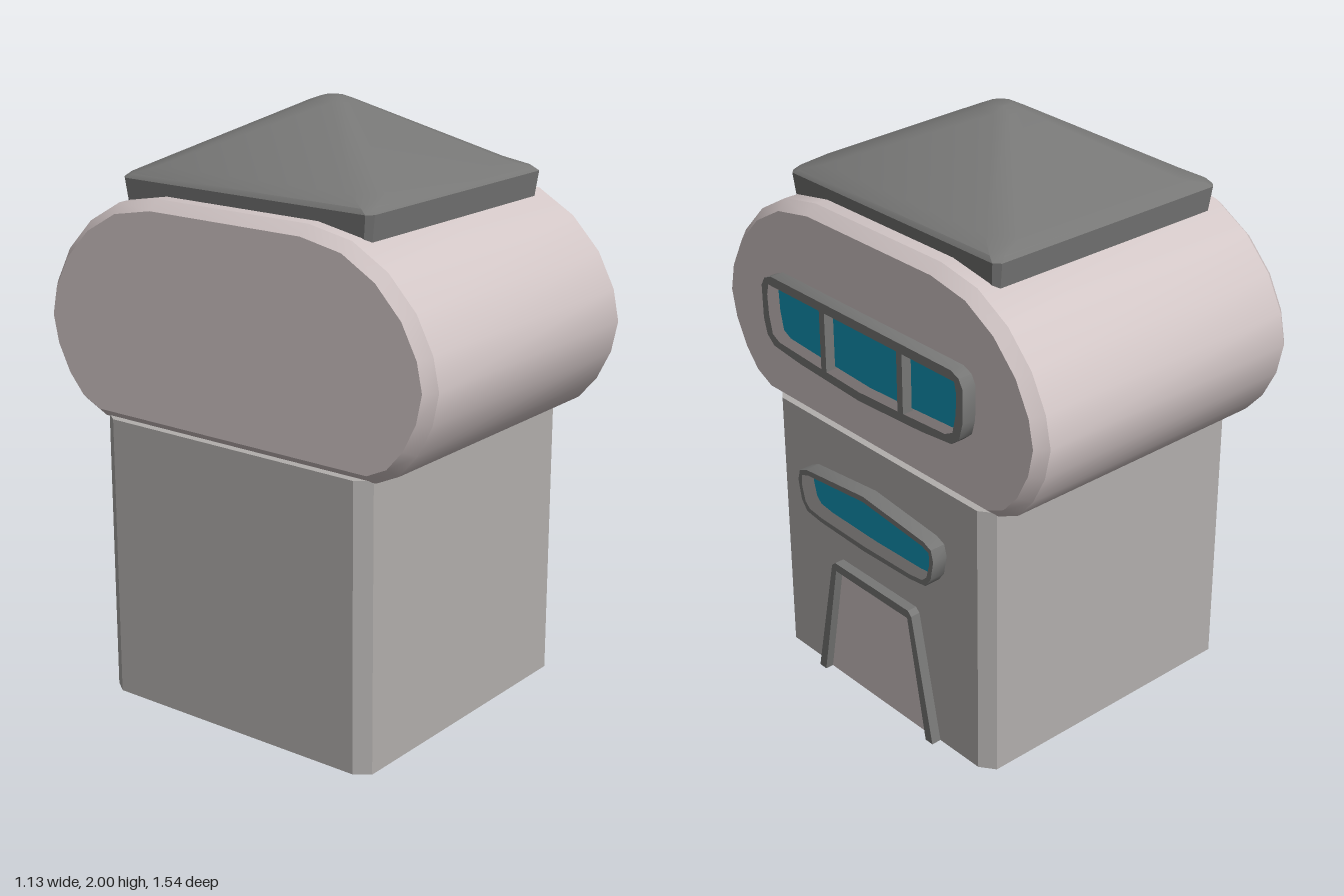
import * as THREE from 'three';
import { toCreasedNormals } from 'three/addons/utils/BufferGeometryUtils.js';

const mat = (name, color) => {
  const m = new THREE.MeshStandardMaterial({ color });
  m.name = name;
  return m;
};

// Full closed outline from one half, listed top to bottom as [z, y]
const mirrored = (half) => {
  const other = half.filter(([z]) => z > 0).reverse().map(([z, y]) => [-z, y]);
  return [...half, ...other].map(([z, y]) => new THREE.Vector2(z, y));
};

// Extrude a z/y outline along x between two positions
function slab(outline, x0, x1, hole, bevel = 0) {
  const shape = new THREE.Shape(outline);
  if (hole) shape.holes.push(new THREE.Path(hole));
  const geo = new THREE.ExtrudeGeometry(shape, {
    depth: x1 - x0 - 2 * bevel, bevelEnabled: bevel > 0, bevelSegments: 1,
    bevelThickness: bevel, bevelSize: bevel * 0.85, bevelOffset: -bevel * 0.85,
  });
  geo.rotateY(Math.PI / 2);
  geo.translate(x0 + bevel, 0, 0);
  return toCreasedNormals(geo, 0.6);
}

// Rectangle with cut corners, counter-clockwise
const cutRect = (hx, hz, cx, cz) => [
  [hx, -hz + cz], [hx, hz - cz], [hx - cx, hz], [-hx + cx, hz],
  [-hx, hz - cz], [-hx, -hz + cz], [-hx + cx, -hz], [hx - cx, -hz],
];

// Roof skin lofted through cut-corner rings, closed at both ends
function roofGeometry() {
  const rings = [
    [1.66, 0.455, 0.482, 0.018], [1.75, 0.462, 0.495, 0.02], [1.765, 0.452, 0.482, 0.03],
    [1.79, 0.405, 0.45, 0.07], [1.985, 0.065, 0.07, 0.035], [2.0, 0.03, 0.03, 0.015],
  ];
  const pos = [], idx = [];
  for (const [y, hx, hz, c] of rings) for (const [x, z] of cutRect(hx, hz, c, c)) pos.push(x, y, z);
  for (let r = 0; r < rings.length - 1; r++) {
    for (let i = 0; i < 8; i++) {
      const a = r * 8 + i, b = r * 8 + (i + 1) % 8;
      idx.push(a, a + 8, b, b, a + 8, b + 8);
    }
  }
  const top = (rings.length - 1) * 8;
  for (let i = 1; i < 7; i++) idx.push(0, i, i + 1, top, top + i + 1, top + i);
  const geo = new THREE.BufferGeometry();
  geo.setAttribute('position', new THREE.Float32BufferAttribute(pos, 3));
  geo.setIndex(idx);
  geo.translate(-0.028, 0, 0);
  return toCreasedNormals(geo, 0.5);
}

export function createModel() {
  const model = new THREE.Group();
  model.name = 'building';
  const wall = mat('wallGrey', 0xb2afad);
  const plaster = mat('palePlaster', 0xd2c6c6);
  const dark = mat('darkTrim', 0x777776);
  const glass = mat('blueGlass', 0x1097b8);
  const add = (name, geo, material) => {
    const mesh = new THREE.Mesh(geo, material);
    mesh.name = name;
    model.add(mesh);
  };

  // Lower storey with chamfered corners
  const plan = cutRect(0.5375, 0.54, 0.036, 0.05).map(([x, z]) => new THREE.Vector2(x, z));
  const base = new THREE.ExtrudeGeometry(new THREE.Shape(plan), { depth: 0.965, bevelEnabled: false });
  base.rotateX(-Math.PI / 2);
  base.translate(-0.0275, 0, 0);
  add('lowerStorey', toCreasedNormals(base, 0.3), wall);

  // Rounded upper storey
  const upper = mirrored([
    [0.3, 1.71], [0.46, 1.68], [0.59, 1.605], [0.69, 1.5], [0.75, 1.385], [0.772, 1.28],
    [0.75, 1.175], [0.7, 1.075], [0.635, 1.0], [0.55, 0.96],
  ]);
  add('upperStorey', slab(upper, -0.57, 0.515, null, 0.038), plaster);

  // Hipped roof
  add('roof', roofGeometry(), dark);

  // Upper window: frame, glass and two mullions
  const upperOuter = mirrored([
    [0.44, 1.44], [0.475, 1.425], [0.492, 1.395], [0.49, 1.28], [0.475, 1.225], [0.44, 1.195],
    [0.3, 1.18], [0, 1.165],
  ]);
  const upperInner = mirrored([
    [0.455, 1.408], [0.464, 1.37], [0.46, 1.3], [0.445, 1.235], [0.41, 1.217], [0.2, 1.205], [0, 1.196],
  ]);
  add('upperWindowFrame', slab(upperOuter, 0.5, 0.565, upperInner), dark);
  add('upperWindowGlass', slab(upperInner, 0.512, 0.52), glass);
  for (const s of [-1, 1]) {
    const bar = new THREE.BoxGeometry(0.05, 0.22, 0.026);
    bar.translate(0.53, 1.305, s * 0.19);
    add('mullion', bar, dark);
  }

  // Lower window
  const lowerOuter = mirrored([
    [0, 0.82], [0.3, 0.79], [0.335, 0.775], [0.346, 0.735], [0.332, 0.665], [0.305, 0.63],
    [0.23, 0.62], [0, 0.613],
  ]);
  const lowerInner = mirrored([
    [0, 0.8], [0.29, 0.772], [0.325, 0.76], [0.327, 0.72], [0.312, 0.665], [0.29, 0.645],
    [0.23, 0.637], [0, 0.632],
  ]);
  add('lowerWindowFrame', slab(lowerOuter, 0.5, 0.565, lowerInner), dark);
  add('lowerWindowGlass', slab(lowerInner, 0.508, 0.516), glass);

  // Tapered doorway: an open-bottomed frame around a pale door
  const doorFrame = mirrored([[0.19, 0.47], [0.207, 0.455], [0.302, 0], [0.268, 0], [0.186, 0.44]]);
  // Reorder so the outline runs outside, then back along the inside
  const outer = [...doorFrame.slice(0, 3)], inner = [...doorFrame.slice(3, 5)];
  const flip = (p) => new THREE.Vector2(-p.x, p.y);
  add('doorFrame', slab([
    ...outer, ...inner, ...inner.map(flip).reverse(), ...outer.map(flip).reverse(),
  ], 0.5, 0.545), dark);
  add('door', slab(mirrored([[0.186, 0.44], [0.268, 0]]), 0.508, 0.516), plaster);

  return model;
}
